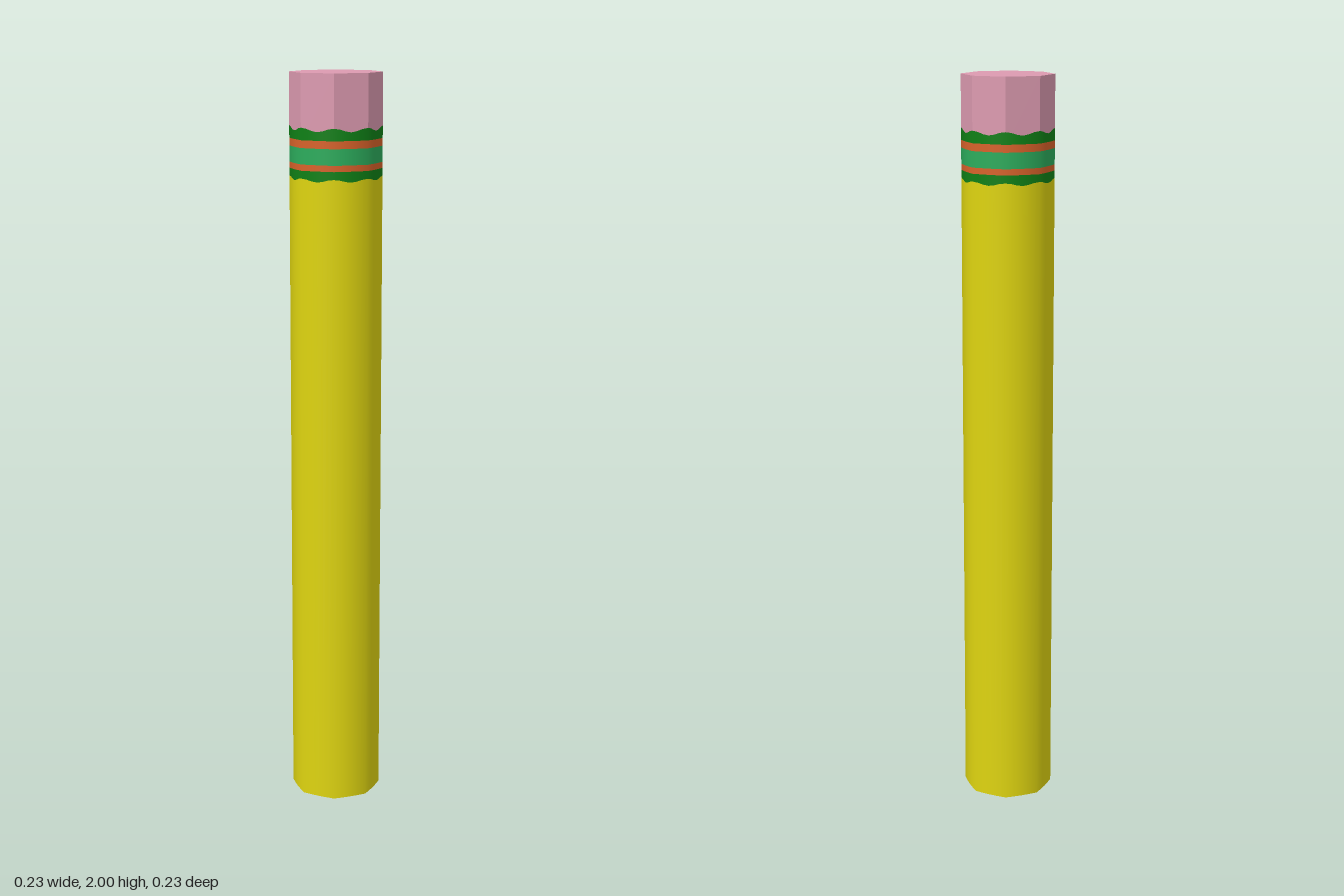
import * as THREE from 'three';

const FLAT = 0.1133; // centre line to the middle of a flat side
const CORNER = FLAT / Math.cos(Math.PI / 8);

const mat = (name, color) => Object.assign(new THREE.MeshStandardMaterial({ color }), { name });

// radius of the slightly bulged octagonal section at an angle
function sectionRadius(angle) {
  const step = Math.PI / 4;
  const d = angle - Math.round(angle / step) * step;
  return FLAT / Math.cos(d) + 0.0025 * Math.cos(4 * d);
}

// smooth octagonal sleeve; wavy ends rise at the corners
function sleeve(y0, y1, wave0 = 0, wave1 = 0) {
  const geo = new THREE.CylinderGeometry(1, 1, 1, 48, 1, true);
  const p = geo.attributes.position;
  for (let i = 0; i < p.count; i++) {
    const a = Math.atan2(p.getX(i), p.getZ(i));
    const r = sectionRadius(a);
    const top = p.getY(i) > 0;
    const y = (top ? y1 : y0) - (top ? wave1 : wave0) * Math.cos(8 * a);
    p.setXYZ(i, r * Math.sin(a), y, r * Math.cos(a));
  }
  return geo;
}

export function createModel() {
  const yellow = mat('yellow paint', 0xded410);
  const pink = mat('pink rubber', 0xdc9ab0);
  const darkGreen = mat('dark green', 0x0f8016);
  const green = mat('light green', 0x2cac5c);
  const orange = mat('orange', 0xd8622a);
  const wood = mat('wood', 0x96644a);
  const lead = mat('lead', 0x0a0a0a);

  const group = new THREE.Group();
  group.name = 'pencil';
  const add = (name, geo, material) => {
    const mesh = new THREE.Mesh(geo, material);
    mesh.name = name;
    group.add(mesh);
    return mesh;
  };

  // painted shaft
  add('shaft', sleeve(0, 1.728, 0, 0.004), yellow);

  // striped ferrule, with scalloped outer edges
  const bands = [
    ['lowerEdgeBand', 1.728, 1.752, darkGreen, 0.004, 0],
    ['lowerStripe', 1.752, 1.768, orange, 0, 0],
    ['middleBand', 1.768, 1.81, green, 0, 0],
    ['upperStripe', 1.81, 1.83, orange, 0, 0],
    ['upperEdgeBand', 1.83, 1.857, darkGreen, 0, 0.005],
  ];
  for (const [name, y0, y1, material, w0, w1] of bands) {
    add(name, sleeve(y0, y1, w0, w1), material);
  }

  // faceted eraser, seated in the ferrule
  const eraserGeo = new THREE.CylinderGeometry(CORNER, CORNER, 0.18, 8).toNonIndexed();
  eraserGeo.computeVertexNormals();
  eraserGeo.rotateY(Math.PI / 8);
  add('eraser', eraserGeo, pink).position.y = 1.91;

  // flat cut end: wood with the lead in its centre
  const woodGeo = new THREE.CircleGeometry(CORNER, 8);
  woodGeo.rotateX(Math.PI / 2).rotateY(Math.PI / 8);
  add('woodEnd', woodGeo, wood).position.y = 0.002;

  const leadGeo = new THREE.CircleGeometry(0.04, 8);
  leadGeo.rotateX(Math.PI / 2).rotateY(Math.PI / 8);
  add('leadCore', leadGeo, lead);

  return group;
}
